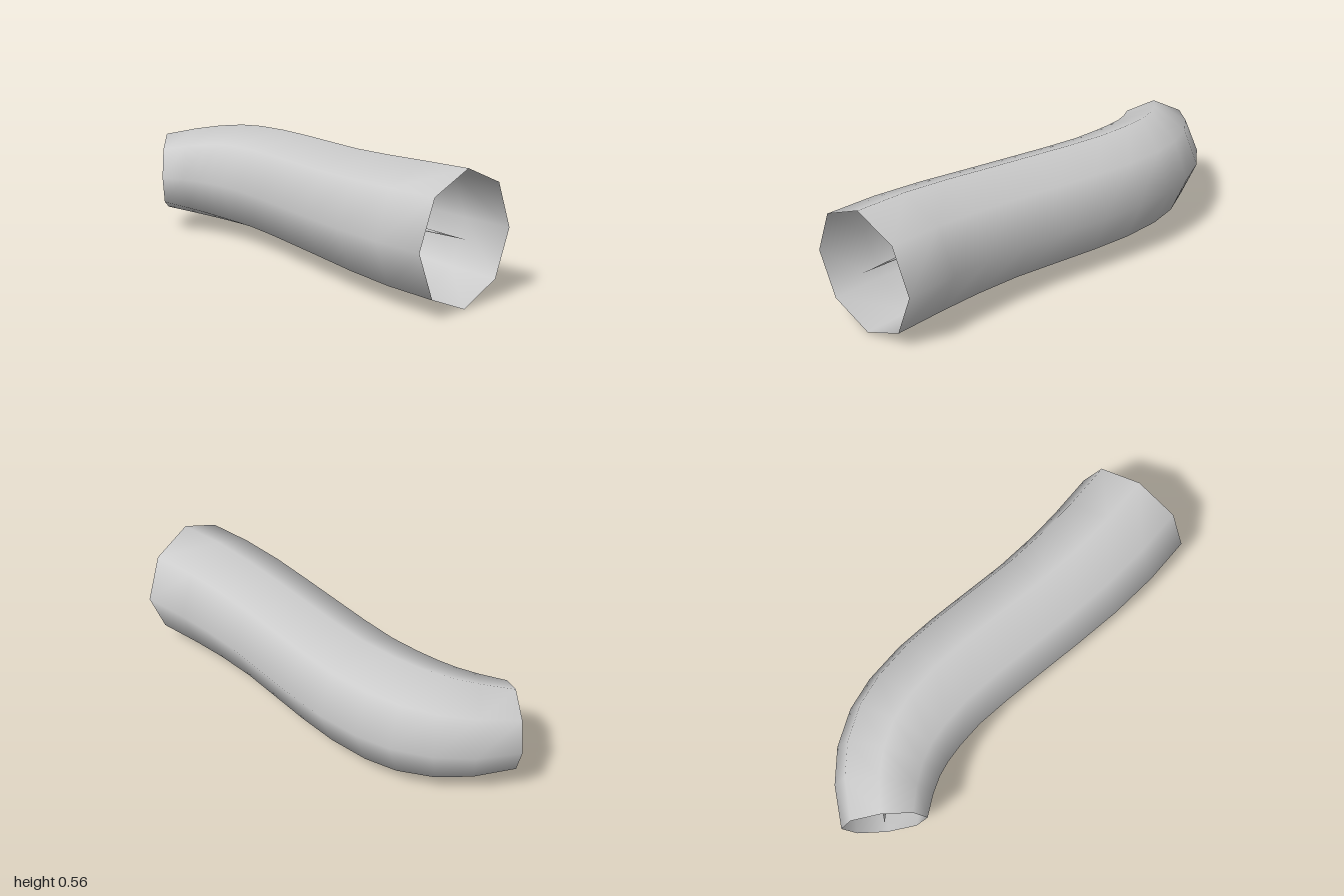
import * as THREE from 'three';

const SIDES = 8;
const AXIS_Y = 0.281;

// Each ring: far-side x, z, near-side x, z in plan, and the inner core's radius
const RINGS = [
  [-1.0, -0.045, -0.74, 0.22, 0],
  [-0.87, -0.19, -0.64, 0.175, 0.024],
  [-0.73, -0.29, -0.56, 0.15, 0.036],
  [-0.56, -0.355, -0.49, 0.14, 0.042],
  [-0.4, -0.375, -0.4, 0.138, 0.043],
  [-0.2, -0.365, -0.27, 0.147, 0.04],
  [0.0, -0.33, -0.1, 0.18, 0.034],
  [0.2, -0.285, 0.09, 0.225, 0.028],
  [0.4, -0.24, 0.3, 0.275, 0.021],
  [0.6, -0.21, 0.53, 0.325, 0.014],
  [0.77, -0.195, 0.77, 0.36, 0.007],
  [1.0, -0.187, 1.0, 0.373, 0],
];

// Lofts octagonal rings along the bend; radiusOf picks the radius of each ring
function loft(radiusOf) {
  const positions = [];
  const indices = [];
  RINGS.forEach((ring, i) => {
    const [xo, zo, xi, zi] = ring;
    const half = Math.hypot(xo - xi, zo - zi) / 2;
    const ux = (xo - xi) / (2 * half);
    const uz = (zo - zi) / (2 * half);
    const r = radiusOf(ring, half);
    for (let j = 0; j < SIDES; j++) {
      const a = (j / SIDES) * Math.PI * 2;
      const c = Math.cos(a) * r;
      positions.push((xo + xi) / 2 + ux * c, AXIS_Y + Math.sin(a) * r, (zo + zi) / 2 + uz * c);
      if (i === 0) continue;
      const k = (j + 1) % SIDES;
      const p = (i - 1) * SIDES;
      const q = i * SIDES;
      indices.push(p + j, p + k, q + j, p + k, q + k, q + j);
    }
  });
  const geometry = new THREE.BufferGeometry();
  geometry.setAttribute('position', new THREE.Float32BufferAttribute(positions, 3));
  geometry.setIndex(indices);
  geometry.computeVertexNormals();
  return geometry;
}

export function createModel() {
  const group = new THREE.Group();
  group.name = 'bentPipe';
  const grey = new THREE.MeshStandardMaterial({ color: 0xcccccc, side: THREE.DoubleSide });
  grey.name = 'light grey';

  // Open-ended outer wall
  const wall = new THREE.Mesh(loft((ring, half) => half), grey);
  wall.name = 'pipeWall';

  // Slender core on the centreline, pointed at both ends
  const core = new THREE.Mesh(loft((ring) => ring[4]), grey);
  core.name = 'innerCore';

  group.add(wall, core);
  return group;
}
